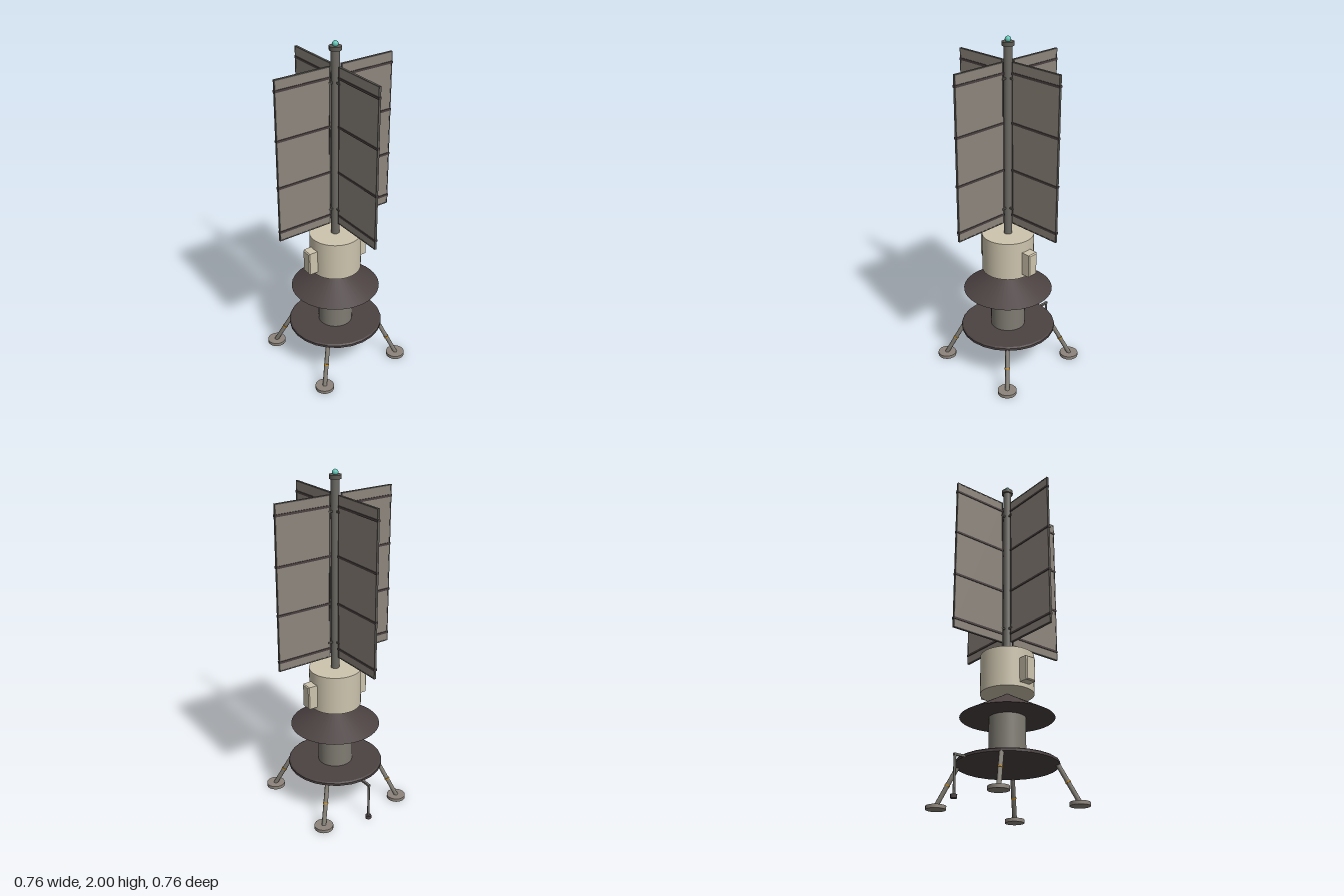
import * as THREE from 'three';

const mat = (name, color) => {
  const m = new THREE.MeshStandardMaterial({ color });
  m.name = name;
  return m;
};

export function createModel() {
  const cream = mat('cream', 0xcdc4ae);
  const panelGrey = mat('panel grey', 0x8d857c);
  const steel = mat('steel grey', 0x807c73);
  const mastGrey = mat('mast grey', 0x6c6963);
  const frameGrey = mat('frame grey', 0x5e5b55);
  const dark = mat('dark brown', 0x4c4242);
  const gold = mat('gold', 0xc08a28);
  const teal = mat('teal', 0x62c4b4);

  const root = new THREE.Group();
  root.name = 'beacon';

  const add = (parent, name, geo, material, x = 0, y = 0, z = 0) => {
    const m = new THREE.Mesh(geo, material);
    m.name = name;
    m.position.set(x, y, z);
    parent.add(m);
    return m;
  };
  // Upright cylinder given by its bottom and top heights
  const post = (parent, name, material, r, y0, y1, sides = 24, x = 0, z = 0) =>
    add(parent, name, new THREE.CylinderGeometry(r, r, y1 - y0, sides), material, x, (y0 + y1) / 2, z);
  // Rod between two points
  const rod = (parent, name, material, r, a, b, sides = 8) => {
    const d = new THREE.Vector3().subVectors(b, a);
    const m = add(parent, name, new THREE.CylinderGeometry(r, r, d.length(), sides), material);
    m.position.addVectors(a, b).multiplyScalar(0.5);
    m.quaternion.setFromUnitVectors(new THREE.Vector3(0, 1, 0), d.normalize());
    return m;
  };
  const box = (parent, name, material, w, h, d, x, y, z) =>
    add(parent, name, new THREE.BoxGeometry(w, h, d), material, x, y, z);

  // Base plate with a softened rim
  const rim = [[0, 0.218], [0.272, 0.218], [0.281, 0.224], [0.281, 0.238], [0.272, 0.244], [0, 0.244]];
  const plate = new THREE.LatheGeometry(rim.map(([r, y]) => new THREE.Vector2(r, y)), 24).toNonIndexed();
  plate.computeVertexNormals();
  add(root, 'basePlate', plate, dark);

  // Column, conical shield and main body
  post(root, 'column', steel, 0.102, 0.24, 0.51, 32);
  add(root, 'shield', new THREE.CylinderGeometry(0.005, 0.262, 0.14, 40), dark, 0, 0.56, 0);
  post(root, 'body', cream, 0.151, 0.626, 0.855, 40);

  // Side pods with a bevelled outer face
  for (const s of [1, -1]) {
    const shape = new THREE.Shape();
    shape.moveTo(-0.026, -0.064).lineTo(0.026, -0.064).lineTo(0.026, 0.064).lineTo(-0.026, 0.064);
    const geo = new THREE.ExtrudeGeometry(shape, {
      depth: 0.06, bevelEnabled: true, bevelSize: 0.006, bevelThickness: 0.006, bevelSegments: 1,
    });
    const pod = add(root, s > 0 ? 'leftPod' : 'rightPod', geo, cream, s * 0.139, 0.72, 0);
    pod.rotation.y = s * Math.PI / 2;
  }

  // Mast, cap and lamp
  post(root, 'mast', mastGrey, 0.024, 0.85, 1.955, 16);
  post(root, 'mastCap', frameGrey, 0.034, 1.95, 1.972, 16);
  add(root, 'lamp', new THREE.SphereGeometry(0.017, 16, 12), teal, 0, 1.983, 0);

  // Four upright panels set in a cross
  for (let i = 0; i < 4; i++) {
    const wing = new THREE.Group();
    wing.name = 'wing' + (i + 1);
    wing.rotation.y = i * Math.PI / 2;
    root.add(wing);
    box(wing, 'panel', panelGrey, 0.332, 0.934, 0.01, 0.207, 1.4, 0);
    for (const y of [0.933, 1.867]) box(wing, 'frameRail', frameGrey, 0.338, 0.006, 0.013, 0.207, y, 0);
    for (const x of [0.041, 0.373]) box(wing, 'frameStile', frameGrey, 0.006, 0.94, 0.013, x, 1.4, 0);
    for (const y of [0.985, 1.258, 1.532, 1.808]) box(wing, 'rib', dark, 0.341, 0.013, 0.018, 0.2075, y, 0);
    for (const y of [1.02, 1.778]) box(wing, 'bracket', frameGrey, 0.028, 0.01, 0.016, 0.034, y, 0);
  }

  // Four splayed legs with gold bands and round feet
  for (const sx of [1, -1]) for (const sz of [1, -1]) {
    const leg = new THREE.Group();
    leg.name = (sz > 0 ? 'front' : 'back') + (sx > 0 ? 'Left' : 'Right') + 'Leg';
    root.add(leg);
    const top = new THREE.Vector3(sx * 0.19, 0.222, sz * 0.19);
    const foot = new THREE.Vector3(sx * 0.268, 0.016, sz * 0.268);
    const at = t => top.clone().lerp(foot, t);
    rod(leg, 'strut', steel, 0.013, top, foot);
    rod(leg, 'band', gold, 0.0155, at(0.44), at(0.48));
    post(leg, 'footPad', panelGrey, 0.055, 0, 0.02, 20, sx * 0.267, sz * 0.267);
  }

  // Sampling probe at the back
  const probe = new THREE.Group();
  probe.name = 'probe';
  root.add(probe);
  box(probe, 'probeArm', mastGrey, 0.014, 0.012, 0.09, 0, 0.226, -0.302);
  post(probe, 'probeRod', mastGrey, 0.007, 0.015, 0.232, 8, 0, -0.34);
  post(probe, 'probeTip', dark, 0.018, 0, 0.02, 8, 0, -0.341);

  return root;
}
